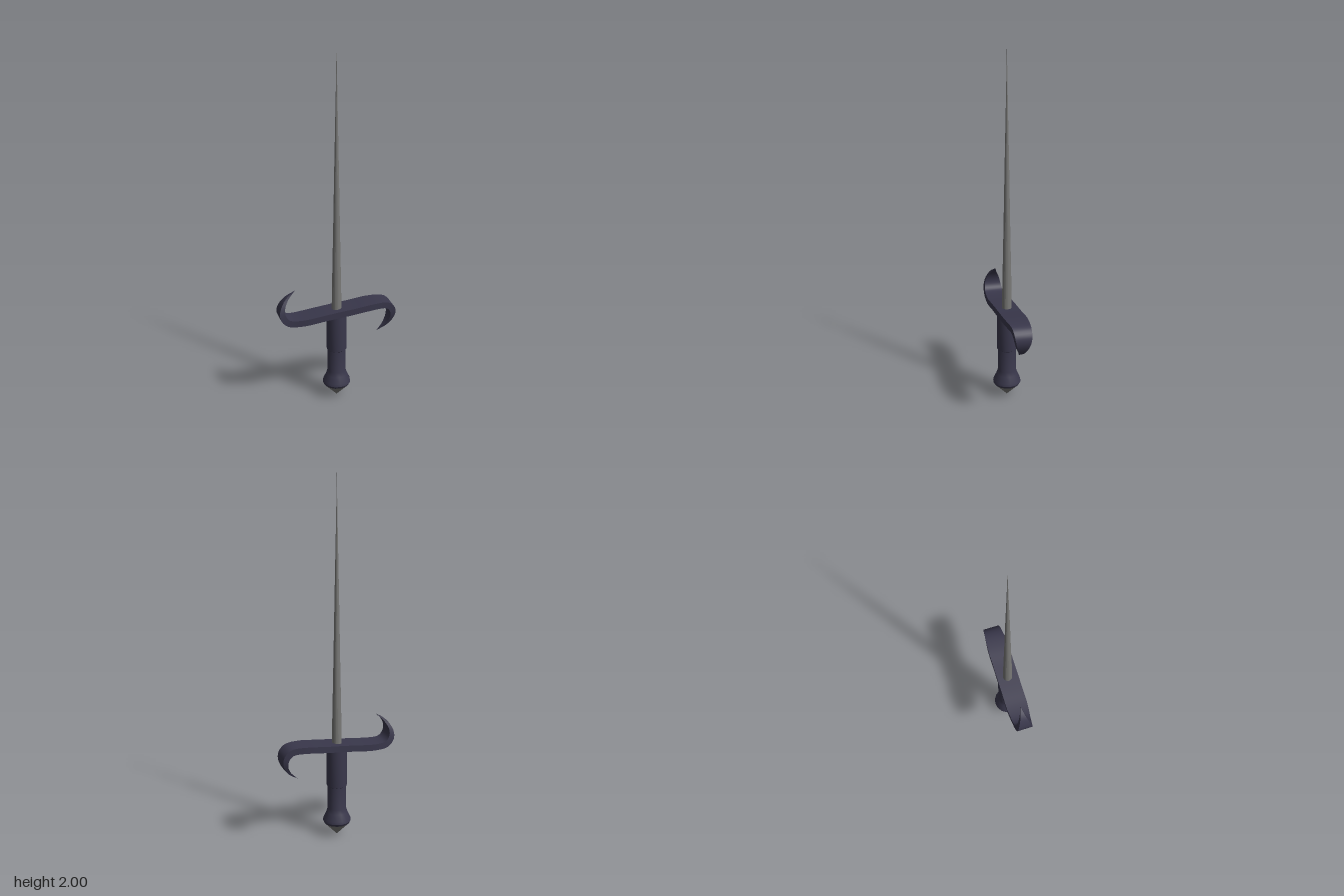
import * as THREE from 'three';
import { toCreasedNormals } from 'three/addons/utils/BufferGeometryUtils.js';

const navy = new THREE.MeshStandardMaterial({ color: 0x39374b });
navy.name = 'dark navy';
const steel = new THREE.MeshStandardMaterial({ color: 0x787876 });
steel.name = 'grey steel';

const GUARD_Y = 0.519;

// Turned part from [radius, y] pairs listed bottom to top
function turned(name, profile, sides, material, crease) {
  const lathe = new THREE.LatheGeometry(profile.map(([r, y]) => new THREE.Vector2(r, y)), sides);
  const mesh = new THREE.Mesh(toCreasedNormals(lathe, crease), material);
  mesh.name = name;
  return mesh;
}

// S-shaped strip: one half is drawn, the other is its half turn about the centre
function guardGeometry() {
  const curve = (pts) => new THREE.CatmullRomCurve3(pts.map((p) => new THREE.Vector3(...p)), false, 'catmullrom', 0.5);
  // x, y, half depth
  const outer = curve([[0, -0.018, 0.06], [-0.09, -0.027, 0.06], [-0.18, -0.038, 0.06], [-0.268, -0.038, 0.052],
    [-0.31, -0.012, 0.048], [-0.325, 0.025, 0.043], [-0.317, 0.067, 0.033], [-0.285, 0.115, 0.016], [-0.23, 0.152, 0]]);
  const inner = curve([[0, 0.018, 0.06], [-0.09, 0.008, 0.06], [-0.18, -0.003, 0.06], [-0.255, -0.004, 0.052],
    [-0.285, 0.012, 0.048], [-0.297, 0.042, 0.043], [-0.292, 0.075, 0.033], [-0.27, 0.112, 0.016], [-0.23, 0.152, 0]]);
  const n = 24;
  const rings = [];
  for (let i = -n; i <= n; i++) {
    const t = Math.abs(i) / n;
    const o = outer.getPoint(t), c = inner.getPoint(t);
    const [low, high] = i <= 0 ? [o, c] : [c, o];
    const s = i <= 0 ? 1 : -1;
    const w = Math.max(0, o.z);
    rings.push([[low.x * s, low.y * s, w], [high.x * s, high.y * s, w],
      [high.x * s, high.y * s, -w], [low.x * s, low.y * s, -w]]);
  }
  // The centre ring is stored low to high; the turned half swaps the two edges
  const pos = [];
  for (let i = 0; i < rings.length - 1; i++) {
    for (let k = 0; k < 4; k++) {
      const a = rings[i][k], b = rings[i + 1][k];
      const c = rings[i + 1][(k + 1) % 4], d = rings[i][(k + 1) % 4];
      pos.push(...a, ...b, ...c, ...a, ...c, ...d);
    }
  }
  const geo = new THREE.BufferGeometry();
  geo.setAttribute('position', new THREE.Float32BufferAttribute(pos, 3));
  return toCreasedNormals(geo, 0.6);
}

export function createModel() {
  const group = new THREE.Group();
  group.name = 'dagger';

  // Long needle blade
  group.add(turned('blade', [[0, 0.5], [0.027, 0.5], [0.025, 0.65], [0.018, 1.0],
    [0.012, 1.34], [0.006, 1.64], [0.003, 1.8], [0, 2]], 20, steel, 0.2));

  // Curved crossguard
  const guard = new THREE.Mesh(guardGeometry(), navy);
  guard.name = 'crossguard';
  guard.position.y = GUARD_Y;
  group.add(guard);

  // Stepped handle flaring into the pommel
  group.add(turned('grip', [[0, 0.072], [0.07, 0.072], [0.077, 0.085], [0.074, 0.1], [0.058, 0.135],
    [0.05, 0.16], [0.05, 0.288], [0.055, 0.292], [0.055, 0.51], [0, 0.51]], 16, navy, 0.6));

  // Pointed metal cap under the pommel
  group.add(turned('pommelCap', [[0, 0], [0.07, 0.073], [0, 0.074]], 16, steel, 0.2));

  return group;
}
